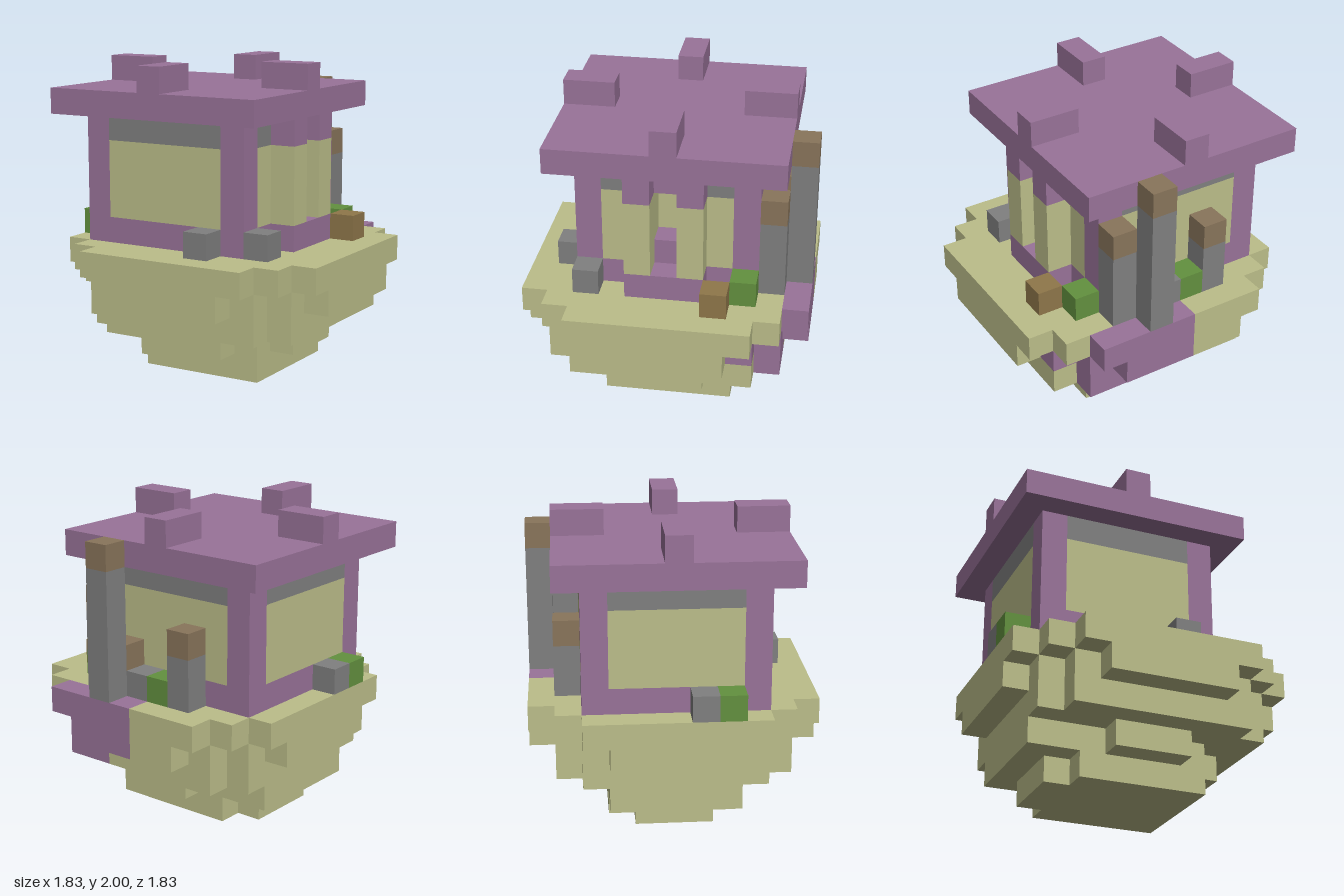
import * as THREE from 'three';

const U = 1 / 6; // size of one block

const paint = (name, color) => {
  const m = new THREE.MeshStandardMaterial({ color });
  m.name = name;
  return m;
};

export function createModel() {
  const model = new THREE.Group();
  model.name = 'floatingHut';
  const purple = paint('purple', 0x997399);
  const sand = paint('sand', 0xbcbe8a);
  const grey = paint('grey', 0x808080);
  const green = paint('green', 0x63913f);
  const brown = paint('brown', 0x8f774a);
  const dullBrown = paint('dullBrown', 0x89755b);

  const part = (name) => {
    const g = new THREE.Group();
    g.name = name;
    model.add(g);
    return g;
  };
  // Box filling inclusive block ranges: columns in x, levels in y, rows in z (0 = back)
  const block = (group, name, mat, [x0, x1 = x0], [y0, y1 = y0], [z0, z1 = z0]) => {
    const w = x1 - x0 + 1, h = y1 - y0 + 1, d = z1 - z0 + 1;
    const mesh = new THREE.Mesh(new THREE.BoxGeometry(w * U, h * U, d * U), mat);
    mesh.position.set((x0 + w / 2 - 5.5) * U, (y0 + h / 2) * U, (z0 + d / 2 - 5.5) * U);
    mesh.name = name;
    group.add(mesh);
  };

  // Stepped bowl-shaped base
  const base = part('base');
  block(base, 'foot', sand, [3, 7], [0], [3, 7]);
  block(base, 'footSide', sand, [2], [0], [4, 6]);
  block(base, 'lowerStep', sand, [1, 7], [1], [3, 7]);
  block(base, 'lowerStepRib', sand, [4, 6], [1], [2, 8]);
  block(base, 'lowerStepSide', sand, [8], [1], [4, 6]);
  block(base, 'middleStep', sand, [1, 9], [2], [2, 8]);
  block(base, 'middleStepFront', sand, [2, 8], [2], [9]);
  block(base, 'middleStepBack', sand, [2, 6], [2], [1]);
  block(base, 'upperStep', sand, [1, 9], [3], [3, 8]);
  block(base, 'upperStepRear', sand, [1, 8], [3], [2]);
  block(base, 'upperStepFront', sand, [2, 8], [3], [9]);
  block(base, 'upperStepBack', sand, [2, 7], [3], [1]);
  block(base, 'upperFlapFront', sand, [3, 7], [3], [10]);
  block(base, 'upperFlapBack', sand, [3, 4], [3], [0]);
  block(base, 'upperFlapSides', sand, [0, 10], [3], [3, 7]);
  block(base, 'rim', sand, [1, 9], [4], [1, 9]);
  block(base, 'rimSides', sand, [0, 10], [4], [2, 8]);
  block(base, 'rimFront', sand, [2, 8], [4], [10]);
  block(base, 'rimBack', sand, [2, 4], [4], [0]);

  // Purple patch at the back left corner of the base
  const patch = part('basePatch');
  block(patch, 'patchRim', purple, [5, 8], [4], [0]);
  block(patch, 'patchFlap', purple, [5, 7], [3], [0]);
  block(patch, 'patchCorner', purple, [8], [3], [1]);
  block(patch, 'patchSide', purple, [9], [3], [2]);
  block(patch, 'patchBottom', purple, [7, 8], [2], [1]);

  // Hut walls: plinth, corner posts and wide panes
  const hut = part('hut');
  block(hut, 'plinth', purple, [1, 7], [5], [2, 8]);
  block(hut, 'innerWall', sand, [2, 6], [6, 9], [3, 7]);
  for (const x of [1, 7]) for (const z of [2, 8]) block(hut, 'cornerPost', purple, [x], [6, 9], [z]);
  for (const z of [2, 8]) {
    block(hut, 'pane', sand, [2, 6], [6, 8], [z]);
    block(hut, 'paneTop', grey, [2, 6], [9], [z]);
  }
  block(hut, 'sidePane', sand, [1], [6, 8], [3, 7]);
  block(hut, 'sidePaneTop', grey, [1], [9], [3, 7]);

  // Entrance side with two columns and a niche between them
  const entrance = part('entrance');
  block(entrance, 'step', purple, [8], [5], [4, 6]);
  block(entrance, 'sill', purple, [7], [6], [5]);
  block(entrance, 'lintel', purple, [7], [9], [4, 6]);
  for (const s of [-1, 1]) {
    block(entrance, 'narrowPane', sand, [7], [6, 8], [5 + 2 * s]);
    block(entrance, 'narrowPaneTop', grey, [7], [9], [5 + 2 * s]);
    block(entrance, 'column', sand, [7, 8], [6, 8], [5 + s]);
    block(entrance, 'columnTop', purple, [8], [9], [5 + s]);
  }

  // Flat roof with four raised blocks
  const roof = part('roof');
  block(roof, 'roofSlab', purple, [0, 8], [10], [1, 9]);
  for (const z of [1, 8]) block(roof, 'roofBlock', purple, [4], [11], [z, z + 1]);
  for (const x of [0, 7]) block(roof, 'roofBlock', purple, [x, x + 1], [11], [5]);

  // Posts behind the hut: column, row, top level
  const posts = part('backPosts');
  for (const [x, z, top] of [[6, 0, 10], [7, 1, 8], [3, 1, 7], [6, 1, 6]]) {
    block(posts, 'post', grey, [x], [5, top - 1], [z]);
    block(posts, 'postCap', dullBrown, [x], [top], [z]);
  }

  // Rocks, bushes and a crate on the rim
  const yard = part('yard');
  for (const [x, z] of [[6, 9], [8, 8], [0, 6], [5, 1]]) block(yard, 'rock', grey, [x], [5], [z]);
  for (const [x, z] of [[0, 7], [8, 2], [4, 1]]) block(yard, 'bush', green, [x], [5], [z]);
  block(yard, 'crate', brown, [9], [5], [3]);

  return model;
}
